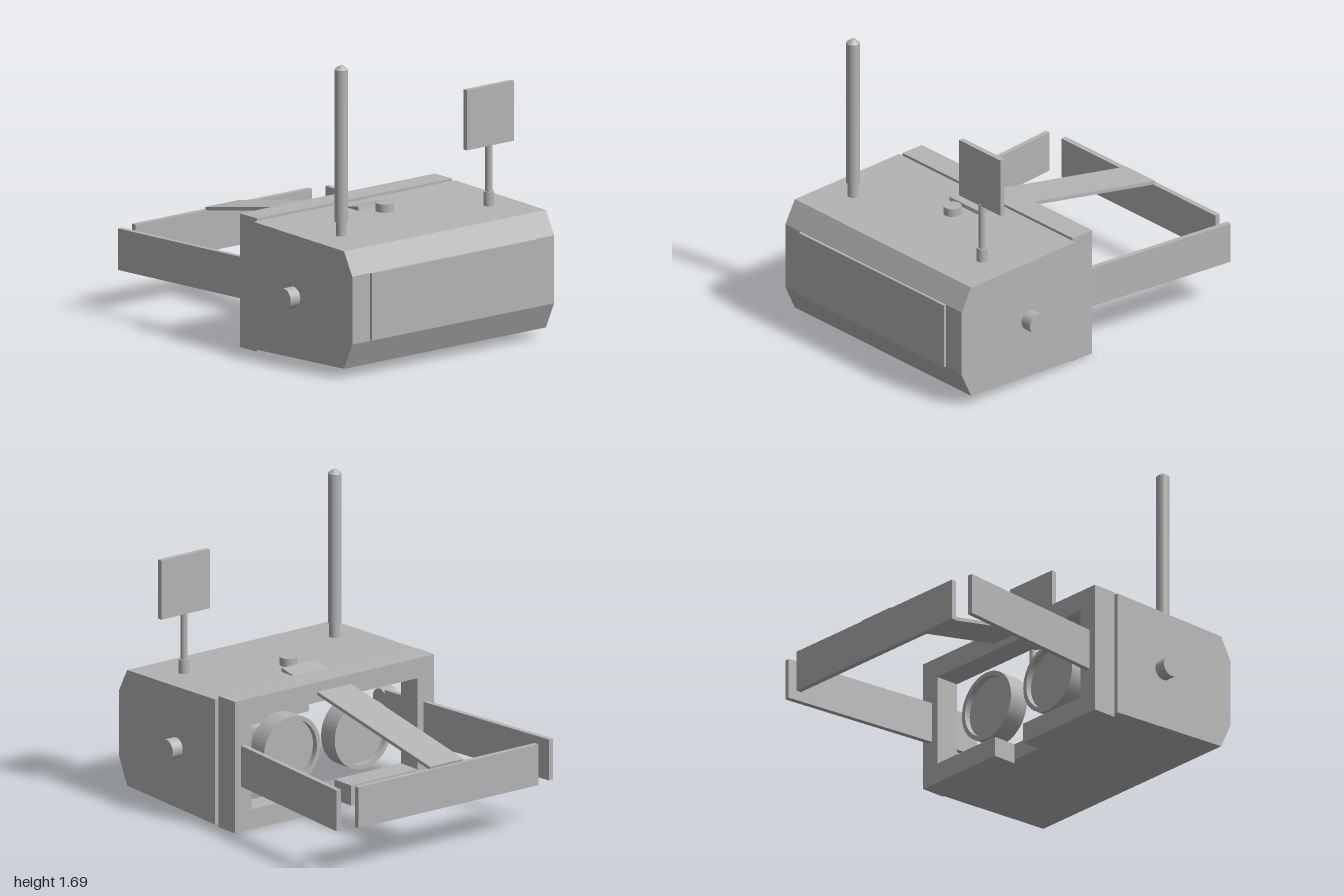
import * as THREE from 'three';

export function createModel() {
  const model = new THREE.Group();
  const grey = new THREE.MeshStandardMaterial({ color: 0xb4b4b4 });
  grey.name = 'plain grey';

  function add(name, geometry, x = 0, y = 0, z = 0) {
    const mesh = new THREE.Mesh(geometry, grey);
    mesh.name = name;
    mesh.position.set(x, y, z);
    model.add(mesh);
    return mesh;
  }
  const box = (name, w, h, d, x, y, z) => add(name, new THREE.BoxGeometry(w, h, d), x, y, z);
  const cyl = (name, rTop, rBottom, y0, y1, x, z) =>
    add(name, new THREE.CylinderGeometry(rTop, rBottom, y1 - y0, 32), x, (y0 + y1) / 2, z);
  const points = list => list.map(([x, y]) => new THREE.Vector2(x, y));

  // Housing: side profile swept across the width, left open at the eye side
  const profile = new THREE.Shape(points([
    [0.145, 0.02], [0.915, 0.055], [0.985, 0.205], [0.985, 0.59], [0.915, 0.72], [0.145, 0.74],
  ]));
  const swept = new THREE.ExtrudeGeometry(profile, { depth: 1.45, bevelEnabled: false }).toNonIndexed?.() ;
  const p = swept.attributes.position;
  const kept = [];
  for (let i = 0; i < p.count; i += 3) {
    if ([0, 1, 2].every(k => p.getX(i + k) < 0.146)) continue;
    for (let k = 0; k < 3; k++) kept.push(p.getX(i + k), p.getY(i + k), p.getZ(i + k) - 0.725);
  }
  const shell = new THREE.BufferGeometry();
  shell.setAttribute('position', new THREE.Float32BufferAttribute(kept, 3));
  shell.computeVertexNormals();
  add('housing', shell);

  // Rim around the housing's open eye side
  const rim = new THREE.Shape(points([[-0.725, 0.02], [0.725, 0.02], [0.725, 0.74], [-0.725, 0.74]]));
  rim.holes.push(new THREE.Path(points([[-0.585, 0.115], [-0.585, 0.64], [0.585, 0.64], [0.585, 0.115]])));
  add('housingRim', new THREE.ShapeGeometry(rim).rotateY(-Math.PI / 2), 0.145);

  // Front panel
  box('frontPanel', 0.03, 0.38, 1.194, 0.985, 0.4, 0);

  // Face frame with a gap for the nose
  const frame = new THREE.Shape(points([
    [0.115, 0], [0.7, 0], [0.7, 0.755], [-0.7, 0.755], [-0.7, 0], [-0.115, 0],
    [-0.115, 0.115], [-0.585, 0.115], [-0.585, 0.64], [0.585, 0.64], [0.585, 0.115], [0.115, 0.115],
  ]));
  add('faceFrame', new THREE.ExtrudeGeometry(frame, { depth: 0.145, bevelEnabled: false }).rotateY(Math.PI / 2));

  // Eyepieces: a tube with a rounded-off rim and a recessed lens
  const tube = points([[0.175, 0.12], [0.175, 0], [0.2, 0], [0.2, 0.12]]);
  for (const s of [-1, 1]) {
    const parts = [];
    for (let i = 0; i < 3; i++) parts.push(new THREE.LatheGeometry([tube[i], tube[i + 1]], 40));
    for (const g of parts) add('eyepieceTube', g.rotateZ(-Math.PI / 2), 0.06, 0.37, s * 0.25);
    add('lens', new THREE.CylinderGeometry(0.176, 0.176, 0.03, 40).rotateZ(Math.PI / 2), 0.11, 0.37, s * 0.25);

    // Side knob
    add('sideKnob', new THREE.CylinderGeometry(0.058, 0.058, 0.09, 32).rotateX(Math.PI / 2), 0.485, 0.38, s * 0.75);

    // Side strap, splayed outwards to the back
    const strap = box('sideStrap', 1.28, 0.235, 0.03, -0.332, 0.378, s * 0.678);
    strap.rotation.y = s * 0.107;
  }

  // Top strap and rear strap
  const topStrap = box('topStrap', 1.325, 0.02, 0.236, -0.333, 0.625, 0);
  topStrap.rotation.z = 0.19;
  box('rearStrap', 0.032, 0.235, 1.266, -0.984, 0.378, 0);

  // Top button
  cyl('topButton', 0.05, 0.05, 0.735, 0.782, 0.403, 0);

  // Rod antenna
  cyl('rodBase', 0.03, 0.03, 0.73, 0.81, 0.66, 0.53);
  cyl('rod', 0.0375, 0.0375, 0.81, 1.67, 0.66, 0.53);
  cyl('rodTip', 0.014, 0.0375, 1.67, 1.69, 0.66, 0.53);

  // Panel antenna
  cyl('panelBase', 0.03, 0.03, 0.73, 0.81, 0.66, -0.53);
  cyl('panelStem', 0.02, 0.02, 0.81, 1.08, 0.66, -0.53);
  box('antennaPanel', 0.03, 0.34, 0.34, 0.66, 1.24, -0.53);

  return model;
}
